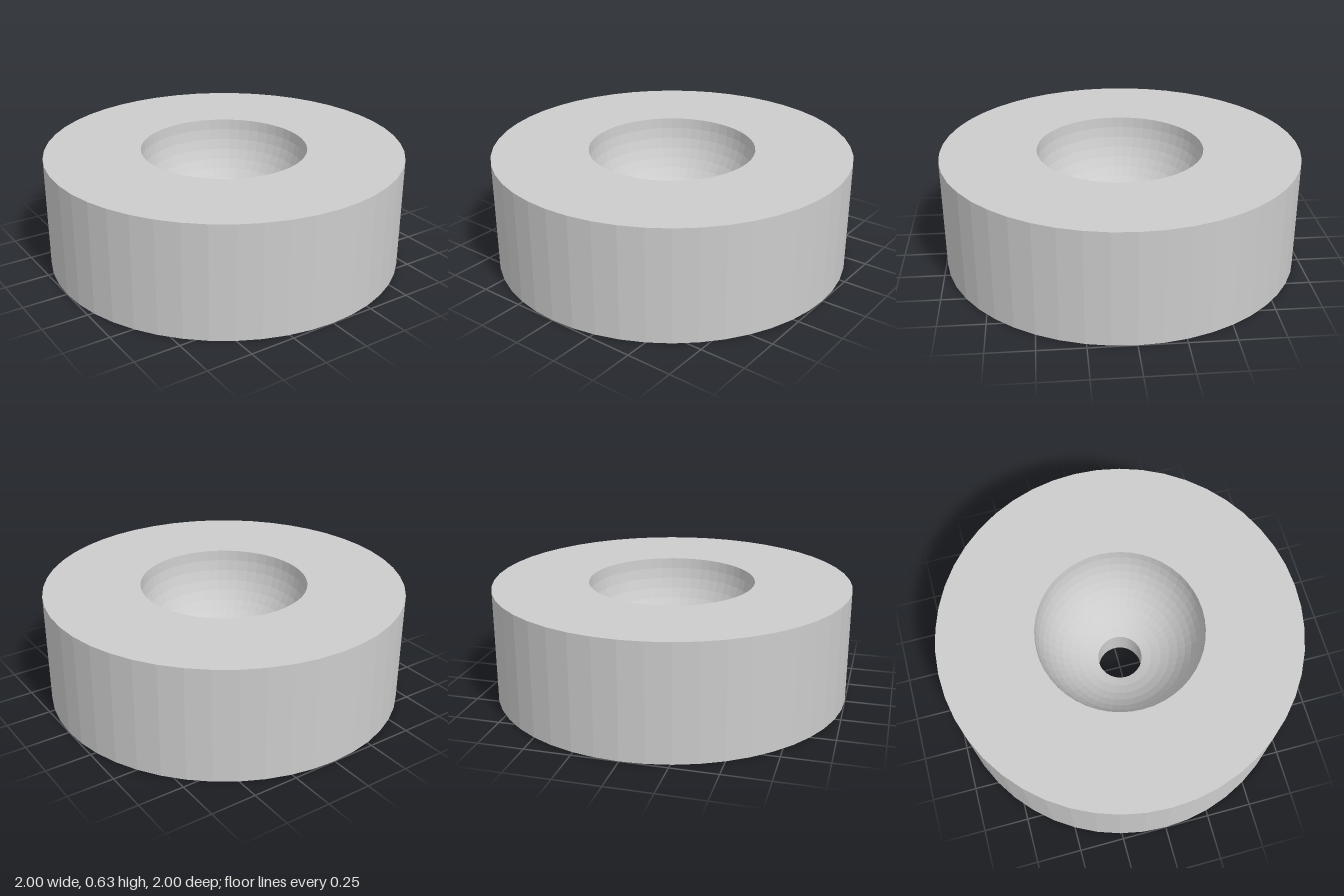
import * as THREE from 'three';

const HEIGHT = 0.63, OUTER = 1, BOWL = 0.465, HOLE = 0.127;
const SEGMENTS = 48, RINGS = 10;

export function createModel() {
  const group = new THREE.Group();
  group.name = 'dishedDisc';
  const material = new THREE.MeshStandardMaterial({ color: 0xcccccc, flatShading: true });

  // Closed profile: underside, outer wall, top face
  const profile = [
    new THREE.Vector2(HOLE, 0),
    new THREE.Vector2(OUTER, 0),
    new THREE.Vector2(OUTER, HEIGHT),
  ];

  // Hemispherical bowl, from the rim down to the drilled hole
  const endAngle = Math.acos(HOLE / BOWL);
  for (let i = 0; i <= RINGS; i++) {
    const a = (endAngle * i) / RINGS;
    profile.push(new THREE.Vector2(BOWL * Math.cos(a), HEIGHT - BOWL * Math.sin(a)));
  }

  // Wall of the through hole
  profile.push(new THREE.Vector2(HOLE, 0));

  const disc = new THREE.Mesh(new THREE.LatheGeometry(profile, SEGMENTS), material);
  disc.name = 'discWithBowlAndHole';
  group.add(disc);
  return group;
}
